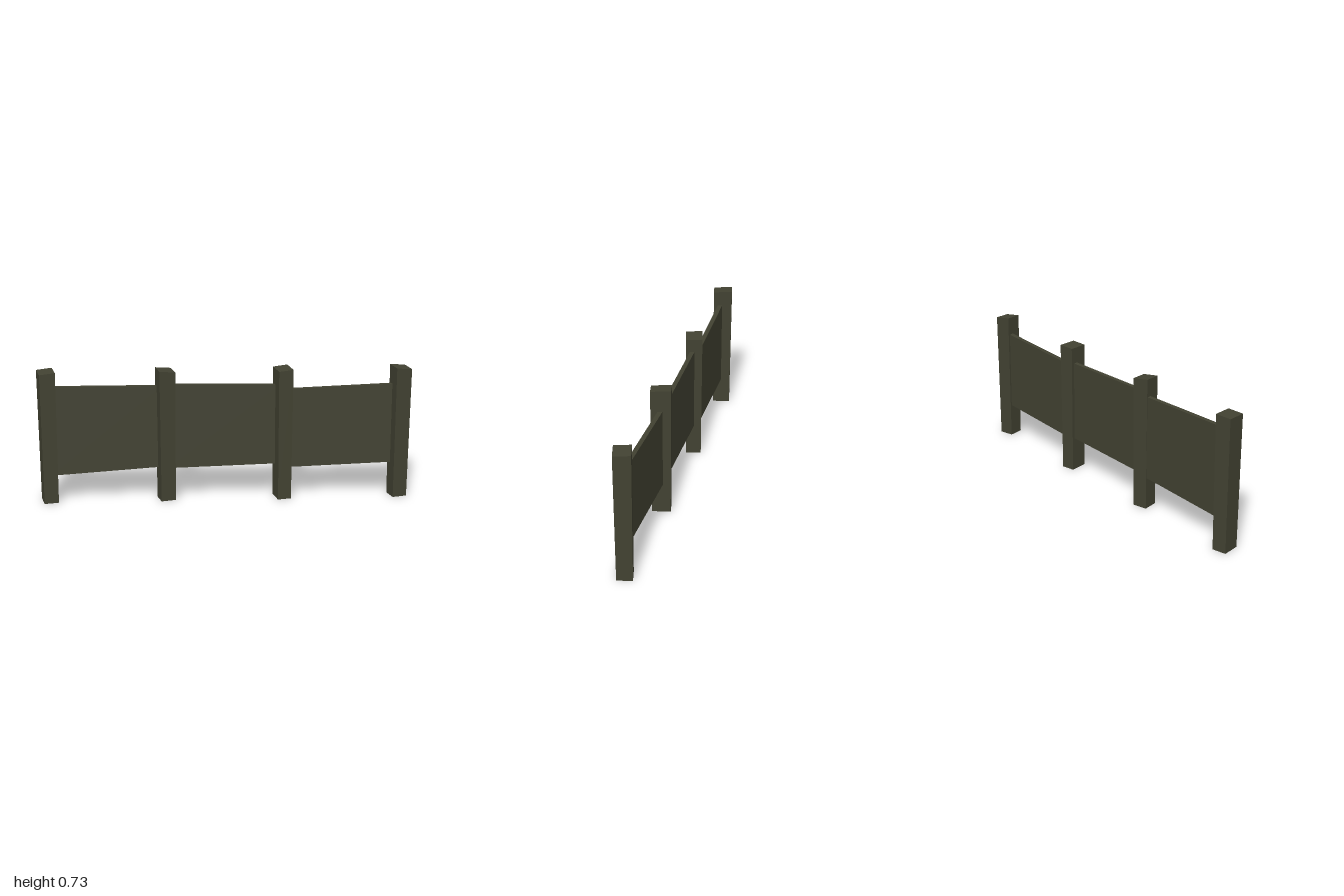
import * as THREE from 'three';

// Box whose corners are moved by a rule
function shapedBox(w, h, d, rule) {
  const geo = new THREE.BoxGeometry(w, h, d);
  const pos = geo.attributes.position;
  const v = new THREE.Vector3();
  for (let i = 0; i < pos.count; i++) {
    v.fromBufferAttribute(pos, i);
    rule(v);
    pos.setXYZ(i, v.x, v.y, v.z);
  }
  geo.computeVertexNormals();
  return geo;
}

export function createModel() {
  const group = new THREE.Group();
  const wood = new THREE.MeshStandardMaterial({ color: 0x424232, flatShading: true });
  wood.name = 'dark olive wood';

  // Posts: slightly wider at the top, twisted, with a crooked sloping top
  const posts = [
    { x: -0.948, w: 0.084, d: 0.105, turn: 0.225, slope: 0.003 },
    { x: -0.317, w: 0.087, d: 0.09, turn: 0.26, slope: -0.005 },
    { x: 0.312, w: 0.08, d: 0.107, turn: 0.225, slope: 0.003 },
    { x: 0.945, w: 0.087, d: 0.09, turn: 0.26, slope: -0.005 },
  ];
  posts.forEach(({ x, w, d, turn, slope }, i) => {
    const geo = shapedBox(w, 0.722, d, (v) => {
      if (v.y > 0) v.y += Math.sign(v.x) * slope - Math.sign(v.z) * 0.002;
      else {
        v.x *= 0.92;
        v.z *= 0.92;
      }
      v.y += 0.361;
    });
    const post = new THREE.Mesh(geo, wood);
    post.name = `post${i + 1}`;
    post.position.x = x;
    post.rotation.y = turn;
    group.add(post);
  });

  // Panels between posts; each end is [x, bottom, top, z]
  const panels = [
    [[-0.935, 0.148, 0.641, 0.007], [-0.335, 0.18, 0.632, -0.018]],
    [[-0.305, 0.177, 0.644, 0.0], [0.3, 0.189, 0.631, -0.014]],
    [[0.325, 0.169, 0.607, -0.005], [0.93, 0.188, 0.629, -0.01]],
  ];
  panels.forEach((ends, i) => {
    const geo = shapedBox(1, 1, 0.024, (v) => {
      const [x, bottom, top, z] = ends[v.x < 0 ? 0 : 1];
      v.set(x, v.y < 0 ? bottom : top, z + v.z);
    });
    const panel = new THREE.Mesh(geo, wood);
    panel.name = `panel${i + 1}`;
    group.add(panel);
  });

  return group;
}
